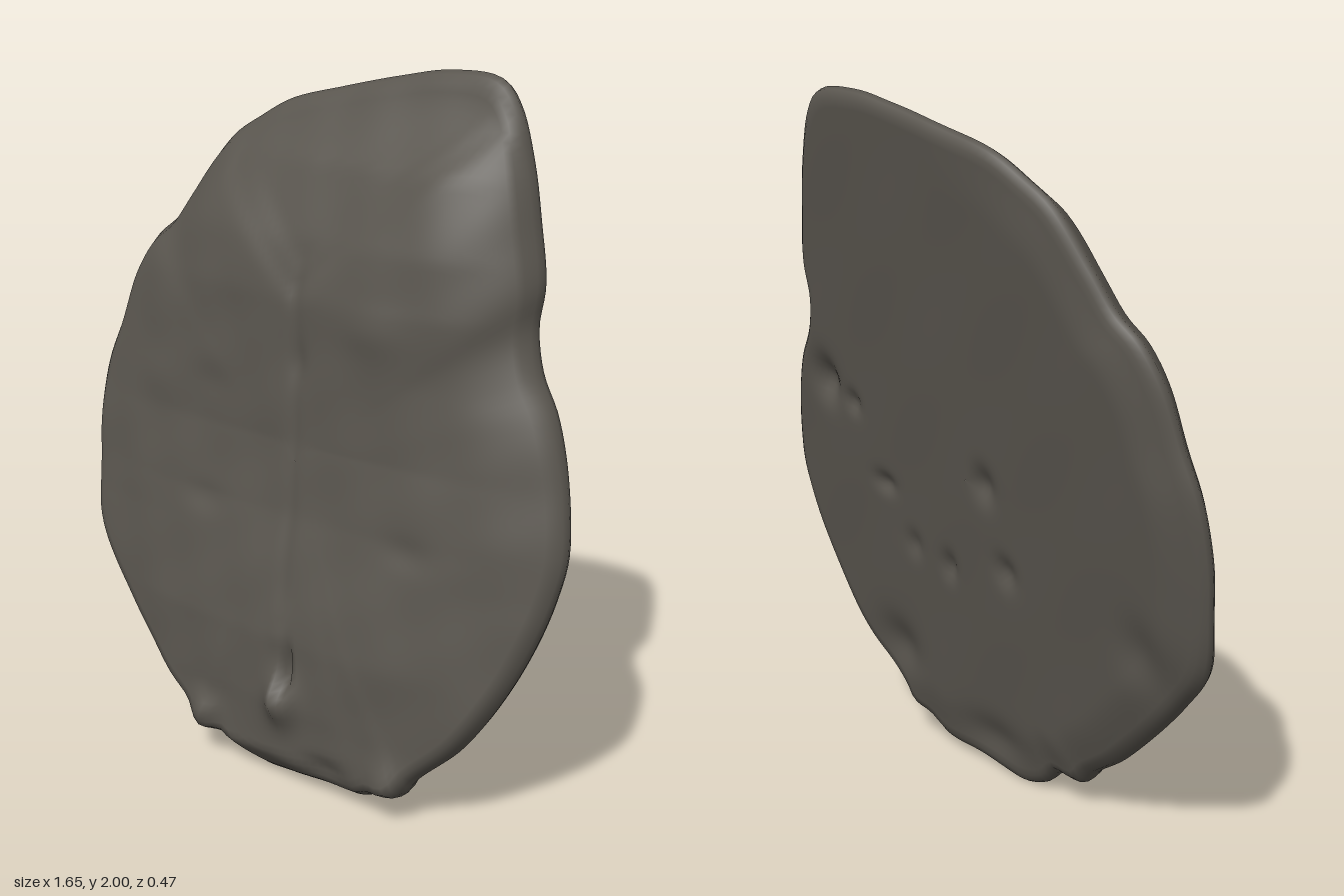
import * as THREE from 'three';

// Outline of the slab, clockwise from the top
const OUTLINE = [
  0.30, 2.0, 0.46, 1.99, 0.52, 1.93, 0.58, 1.79, 0.62, 1.65, 0.655, 1.5, 0.65, 1.39, 0.68, 1.28,
  0.74, 1.18, 0.79, 1.04, 0.825, 0.84, 0.81, 0.73, 0.77, 0.59, 0.70, 0.43, 0.60, 0.27, 0.47, 0.14,
  0.44, 0.09, 0.36, 0.07, 0.30, 0.035, 0.15, 0.025, 0.02, 0.01, -0.05, 0.005, -0.13, 0.03, -0.19, 0.08,
  -0.27, 0.075, -0.31, 0.12, -0.42, 0.20, -0.58, 0.35, -0.69, 0.47, -0.785, 0.6, -0.82, 0.8,
  -0.825, 0.95, -0.81, 1.08, -0.77, 1.2, -0.72, 1.36, -0.66, 1.46, -0.59, 1.52, -0.52, 1.62,
  -0.41, 1.77, -0.32, 1.83, -0.22, 1.885, -0.05, 1.93, 0.15, 1.975,
];

// Height and thickness through the middle, then height and thickness at the rim
const MIDDLE = [[0, 0.06], [0.1, 0.15], [0.26, 0.18], [0.45, 0.19], [0.6, 0.18], [0.8, 0.167], [1, 0.17],
  [1.2, 0.195], [1.4, 0.22], [1.55, 0.22], [1.75, 0.195], [1.87, 0.13], [2, 0.06]];
const RIM = [[0, 0.04], [0.09, 0.12], [0.3, 0.1], [0.7, 0.06], [1.4, 0.06], [2, 0.06]];

// Raised (+) or sunken (-) spots: x, y, radius x, radius y, height
const FRONT_SPOTS = [
  [0.05, 0.28, 0.05, 0.07, 0.05], [0.065, 0.35, 0.012, 0.07, -0.05], [0.03, 0.5, 0.03, 0.07, 0.01],
  [0.4, 0.13, 0.05, 0.06, 0.025], [-0.25, 0.15, 0.05, 0.05, 0.035], [0.2, 0.1, 0.08, 0.03, -0.025],
  [0.02, 1.22, 0.03, 0.05, -0.008], [-0.3, 1.12, 0.07, 0.05, -0.006], [0.25, 1.35, 0.1, 0.06, 0.01],
  [0.42, 0.78, 0.07, 0.04, -0.008], [-0.3, 0.78, 0.07, 0.04, -0.008], [-0.55, 1.1, 0.09, 0.07, 0.008],
];
const BACK_SPOTS = [
  [0.62, 1.13, 0.05, 0.06, 0.04], [0.5, 1.08, 0.03, 0.03, 0.02], [-0.05, 0.95, 0.04, 0.05, 0.025],
  [0.4, 0.85, 0.04, 0.03, 0.02], [0.15, 0.65, 0.03, 0.04, 0.02], [-0.1, 0.7, 0.04, 0.04, 0.02],
  [0.3, 0.68, 0.03, 0.04, 0.015], [0.45, 0.3, 0.08, 0.08, 0.03], [0.05, 0.12, 0.12, 0.06, 0.02],
  [-0.6, 0.6, 0.07, 0.09, 0.02],
];

const { lerp, clamp, smoothstep } = THREE.MathUtils;

function lookUp(table, t) {
  let i = 0;
  while (i < table.length - 2 && t > table[i + 1][0]) i++;
  const [a, va] = table[i], [b, vb] = table[i + 1];
  return lerp(va, vb, clamp((t - a) / (b - a), 0, 1));
}

const spots = (list, x, y) => list.reduce((sum, [cx, cy, rx, ry, h]) =>
  sum + h * Math.exp(-(((x - cx) / rx) ** 2) - ((y - cy) / ry) ** 2), 0);

// Narrow valley along a line
function groove(x, y, x0, y0, x1, y1, width, depth) {
  const dx = x1 - x0, dy = y1 - y0;
  const t = clamp(((x - x0) * dx + (y - y0) * dy) / (dx * dx + dy * dy), 0, 1);
  const d = Math.hypot(x - x0 - t * dx, y - y0 - t * dy);
  return -depth * Math.exp(-((d / width) ** 2));
}

// Sunken V-shaped field at the top
function topField(x, y) {
  const h = y - 1.42;
  return -0.022 * smoothstep(Math.min(0.66 * x + 0.75 * h, -0.68 * x + 0.74 * h), -0.02, 0.07);
}

const backPlane = (y) => 0.07 - 0.157 * y;

function frontZ(x, y, r) {
  const rim = lookUp(RIM, y) + (x < 0 ? 0.035 * -x : 0);
  const middle = Math.max(rim, lookUp(MIDDLE, y));
  const dome = 1 - Math.pow(r, 3.5 + 2.5 * smoothstep(y, 1.2, 1.6));
  const ripple = 0.003 * Math.sin(9 * x + 4 * y) * Math.sin(11 * y - 3 * x)
    + 0.002 * Math.sin(23 * x - 9 * y) * Math.sin(19 * y + 7 * x);
  return backPlane(y) + rim + (middle - rim) * dome + ripple + spots(FRONT_SPOTS, x, y)
    + topField(x, y) * (1 - r ** 6)
    + groove(x, y, -0.01, 1.42, -0.32, 1.7, 0.03, 0.008)
    + groove(x, y, 0.03, 1.45, 0.5, 1.88, 0.03, 0.008)
    + groove(x, y, 0, 1.42, 0.03, 0.5, 0.025, 0.006);
}

// Flat back, bevelled forward along the right and bottom edges
function backZ(x, y, r) {
  const bevel = smoothstep(r, 0.82, 1) * (0.05 * Math.max(0, -x) + 0.012 * (1 - smoothstep(y, 0.05, 0.4)));
  return backPlane(y) + bevel + spots(BACK_SPOTS, x, y) + 0.002 * Math.sin(12 * x + 5 * y) * Math.sin(9 * y);
}

// Closed shell: rings run from the front centre over the rim to the back centre
function slabGeometry() {
  const points = [];
  for (let i = 0; i < OUTLINE.length; i += 2) points.push(new THREE.Vector3(OUTLINE[i], OUTLINE[i + 1], 0));
  const N = 220, K = 44, cx = 0.02, cy = 0.95;
  const rim = new THREE.CatmullRomCurve3(points, true, 'centripetal').getSpacedPoints(N).slice(0, N);
  const pos = [], index = [];
  let rings = 0;
  const ring = (r, height) => {
    for (const p of rim) {
      const x = cx + (p.x - cx) * r, y = cy + (p.y - cy) * r;
      pos.push(x, y, height(x, y, r));
    }
    rings++;
  };
  const radius = (k) => 0.001 + 0.969 * k / K;
  for (let k = 0; k <= K; k++) ring(radius(k), frontZ);
  // Rounded rim
  for (const [r, mix] of [[0.99, 0.8], [1, 0.5], [0.993, 0.2]]) {
    ring(r, (x, y) => lerp(backZ(x, y, r), frontZ(x, y, 1), mix));
  }
  for (let k = K; k >= 0; k--) ring(radius(k), backZ);
  for (let i = 0; i < rings - 1; i++) {
    for (let j = 0; j < N; j++) {
      const a = i * N + j, b = i * N + (j + 1) % N, c = a + N, d = b + N;
      index.push(a, d, c, a, b, d);
    }
  }
  const geometry = new THREE.BufferGeometry();
  geometry.setAttribute('position', new THREE.Float32BufferAttribute(pos, 3));
  geometry.setIndex(index);
  geometry.computeVertexNormals();
  return geometry;
}

export function createModel() {
  const group = new THREE.Group();
  group.name = 'stoneSlab';
  const stone = new THREE.MeshStandardMaterial({ color: 0x5a564f });
  stone.name = 'dark stone';
  const slab = new THREE.Mesh(slabGeometry(), stone);
  slab.name = 'slab';
  group.add(slab);
  return group;
}
